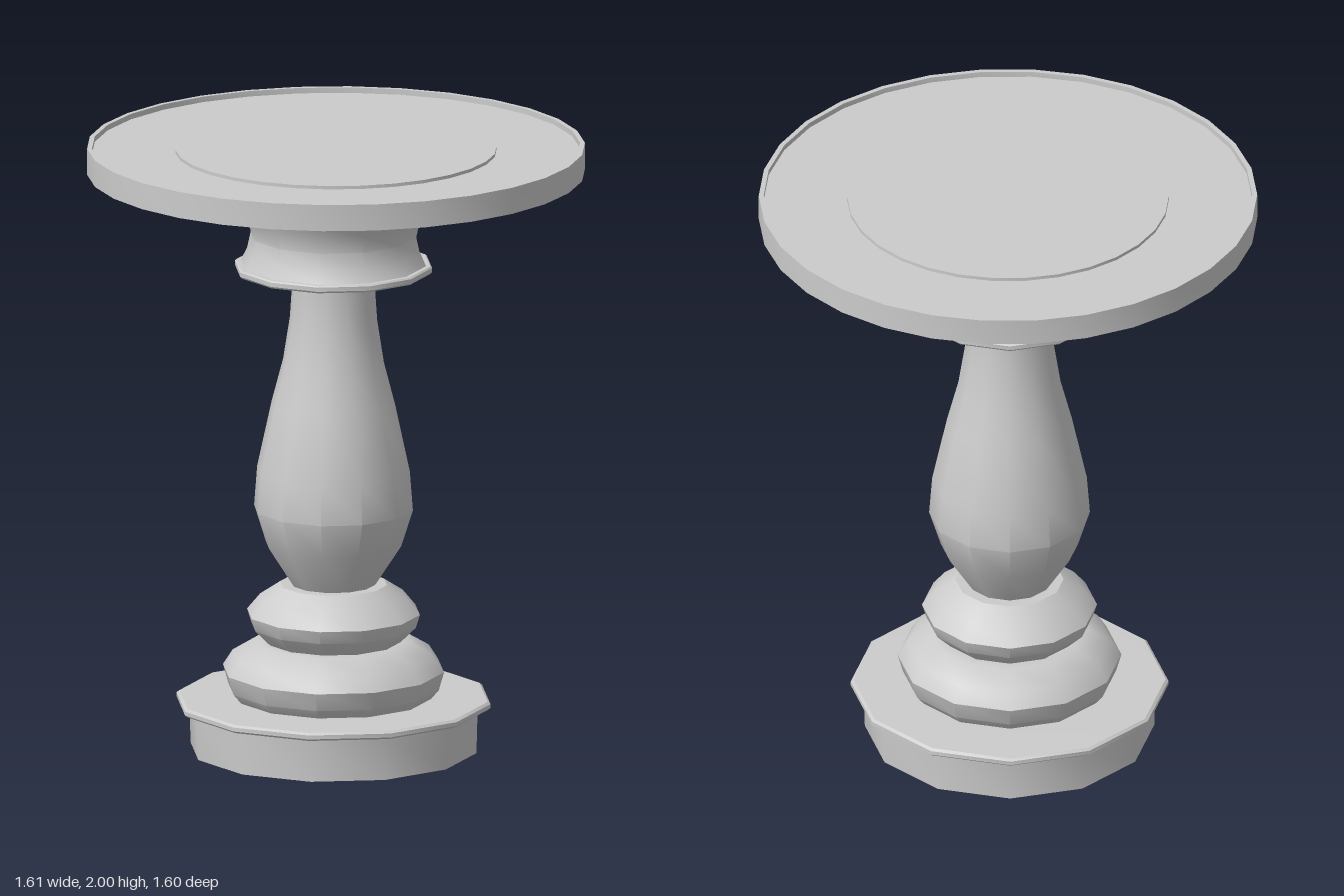
import * as THREE from 'three';
import { toCreasedNormals } from 'three/addons/utils/BufferGeometryUtils.js';

const material = new THREE.MeshStandardMaterial({ color: 0xcccccc, side: THREE.DoubleSide });

// Turn a [radius, height] profile, listed from the bottom up, around the y axis
function turned(name, profile, sides, phiStart = 0, crease = 0.6) {
  const points = profile.map(([r, y]) => new THREE.Vector2(r, y));
  const lathe = new THREE.LatheGeometry(points, sides, phiStart);
  const mesh = new THREE.Mesh(toCreasedNormals(lathe, crease), material);
  mesh.name = name;
  return mesh;
}

export function createModel() {
  const table = new THREE.Group();
  table.name = 'pedestalTable';

  // Pedestal: stacked 12-sided turnings, standing slightly off the top's centre
  const pedestal = new THREE.Group();
  pedestal.name = 'pedestal';
  pedestal.position.set(-0.005, 0, 0.02);
  table.add(pedestal);
  const SIDES = 12;

  // Hollow foot with a thin overhanging flange, open in the middle underneath
  pedestal.add(turned('foot', [
    [0.468, 0], [0.472, 0.145], [0.505, 0.145], [0.514, 0.152],
    [0.514, 0.165], [0.505, 0.172], [0.39, 0.175], [0.32, 0.175],
  ], SIDES));

  // Two cushion-shaped rings
  pedestal.add(turned('lowerCushion', [
    [0.32, 0.175], [0.345, 0.205], [0.362, 0.265], [0.33, 0.315], [0.255, 0.36], [0.22, 0.36],
  ], SIDES));
  pedestal.add(turned('upperCushion', [
    [0.22, 0.36], [0.27, 0.41], [0.283, 0.453], [0.24, 0.505], [0.175, 0.548], [0.13, 0.548],
  ], SIDES));

  // Vase-shaped column
  pedestal.add(turned('column', [
    [0.135, 0.545], [0.222, 0.68], [0.26, 0.8], [0.25, 0.93], [0.202, 1.15],
    [0.165, 1.29], [0.143, 1.43], [0.137, 1.52], [0.137, 1.6],
  ], SIDES));

  // Capital: concave neck between two thin rings, tapering up to the top
  pedestal.add(turned('capital', [
    [0.137, 1.59], [0.318, 1.59], [0.323, 1.596], [0.323, 1.61], [0.318, 1.615], [0.303, 1.615],
    [0.283, 1.655], [0.271, 1.71], [0.283, 1.765], [0.303, 1.805],
    [0.318, 1.805], [0.323, 1.811], [0.323, 1.825], [0.318, 1.831], [0.305, 1.831],
    [0.27, 1.875], [0.222, 1.915],
  ], SIDES));

  // Round top with a narrow raised rim and a slightly raised centre panel
  table.add(turned('tableTop', [
    [0, 1.913], [0.806, 1.913], [0.806, 2], [0.79, 2], [0.79, 1.982],
    [0.52, 1.982], [0.52, 1.993], [0, 1.993],
  ], 30, Math.PI / 2));

  return table;
}
